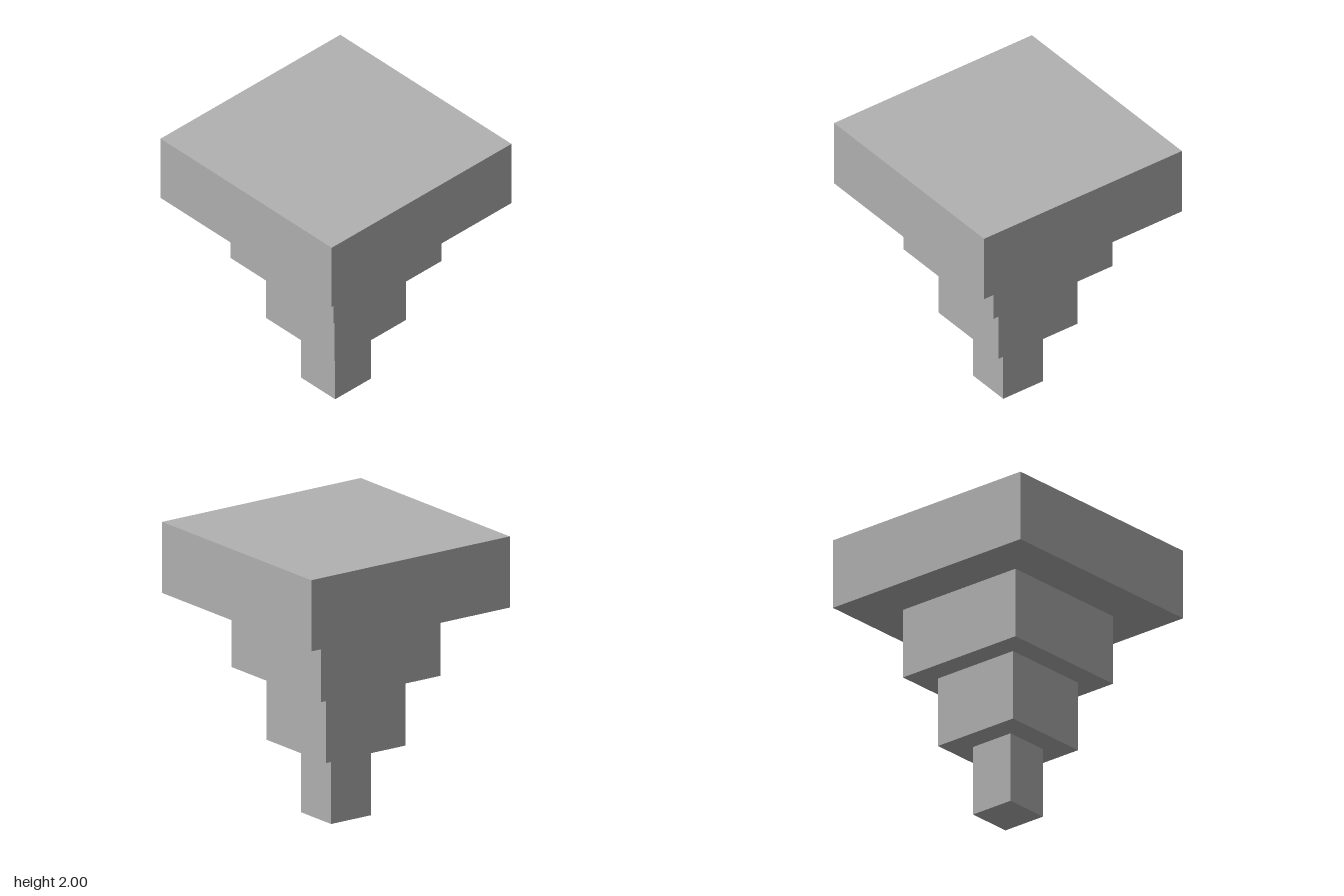
import * as THREE from 'three';

export function createModel() {
  const model = new THREE.Group();
  model.name = 'steppedTower';
  const grey = new THREE.MeshStandardMaterial({ color: 0xb2b2b2 });
  grey.name = 'grey';

  // Four square tiers of equal height, widening upwards
  const height = 0.5;
  const tiers = [
    ['foot', 1 / 3],
    ['lowerTier', 2 / 3],
    ['upperTier', 1],
    ['topSlab', 5 / 3],
  ];
  tiers.forEach(([name, width], i) => {
    const tier = new THREE.Mesh(new THREE.BoxGeometry(width, height, width), grey);
    tier.name = name;
    tier.position.y = (i + 0.5) * height;
    model.add(tier);
  });
  return model;
}
